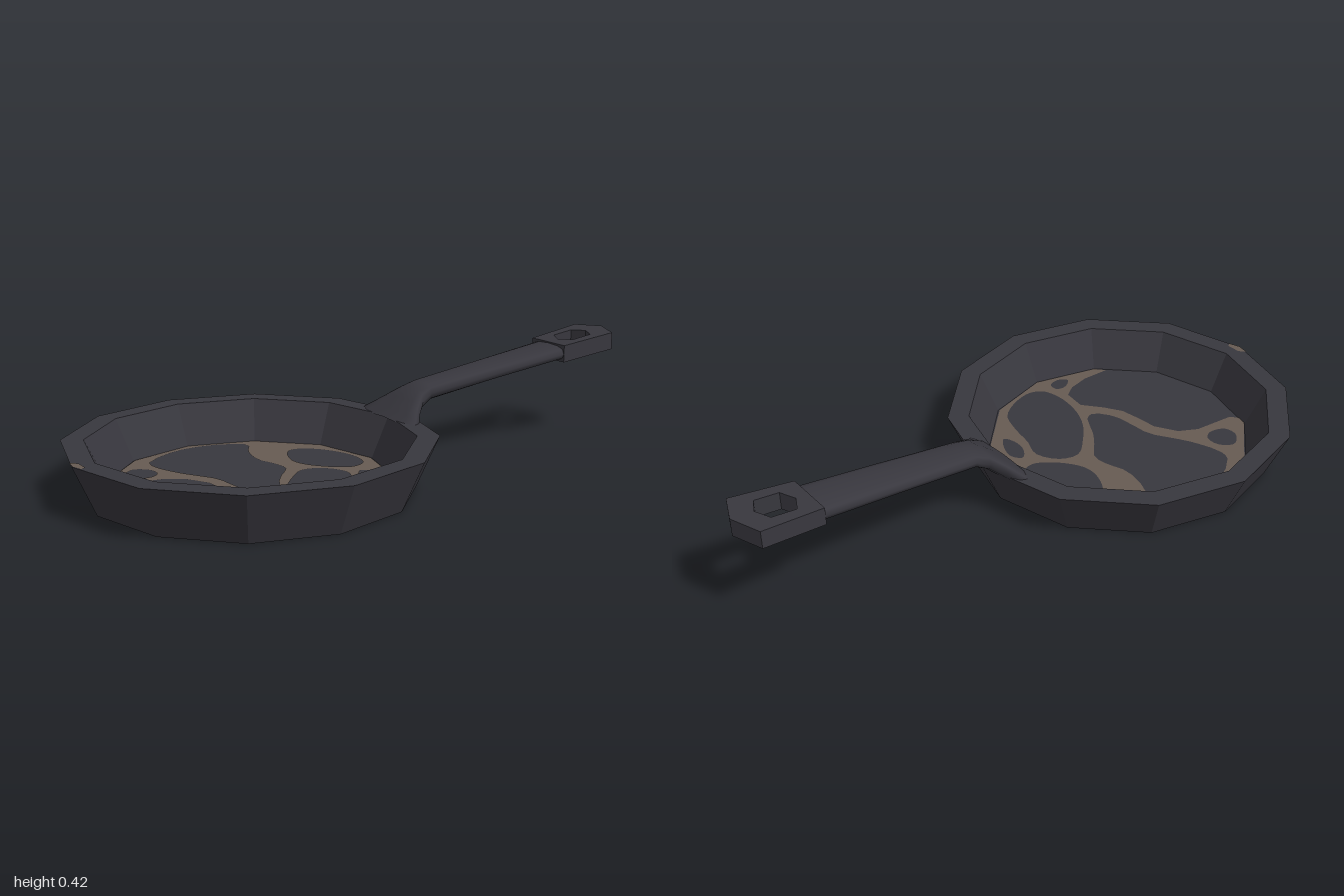
import * as THREE from 'three';

const iron = new THREE.MeshStandardMaterial({ color: 0x38373e });
iron.name = 'castIron';
const rust = new THREE.MeshStandardMaterial({ color: 0x675b52 });
rust.name = 'rustBrown';

const FLOOR = 0.03, RIM = 0.185, SIDES = 12;

function mesh(name, geometry, material) {
  const m = new THREE.Mesh(geometry, material);
  m.name = name;
  return m;
}

// Faceted copy of a geometry
function faceted(geometry) {
  const g = geometry.toNonIndexed();
  g.computeVertexNormals();
  return g;
}

// Flat list of x, z pairs (hundredths) to points on a shape lying on the floor
function points(list) {
  const out = [];
  for (let i = 0; i < list.length; i += 2) out.push(new THREE.Vector2(list[i] / 100, -list[i + 1] / 100));
  return out;
}

// Smooth closed loop through points
function blob(list) {
  const loop = points(list).map((p) => new THREE.Vector3(p.x, p.y, 0));
  const curve = new THREE.CatmullRomCurve3(loop, true);
  return new THREE.Path(curve.getPoints(40).slice(0, -1).map((p) => new THREE.Vector2(p.x, p.y)));
}

// Twelve-sided pan with a sloping wall and a flat rim
function panBody() {
  const profile = [[0, 0], [0.59, 0], [0.672, RIM], [0.59, RIM], [0.515, FLOOR], [0, FLOOR]];
  const g = new THREE.LatheGeometry(profile.map(([r, y]) => new THREE.Vector2(r, y)), SIDES);
  return mesh('panBody', faceted(g), iron);
}

// Rounded shaft that flares where it meets the pan wall
function handleShaft() {
  // distance from pan centre, half width, bottom, top
  const sections = [
    [0.565, 0.21, 0.07, 0.185],
    [0.60, 0.18, 0.12, 0.212],
    [0.645, 0.125, 0.165, 0.25],
    [0.69, 0.085, 0.205, 0.283],
    [0.74, 0.07, 0.232, 0.3],
    [1.05, 0.083, 0.277, 0.34],
    [1.42, 0.097, 0.325, 0.387],
  ];
  const n = 12, pos = [], index = [];
  const soft = (t) => Math.sign(t) * Math.abs(t) ** 0.75;
  sections.forEach(([u, w, lo, hi], i) => {
    for (let j = 0; j < n; j++) {
      const a = (j / n) * Math.PI * 2;
      pos.push(u, (lo + hi) / 2 + soft(Math.sin(a)) * (hi - lo) / 2, soft(Math.cos(a)) * w);
      if (i === sections.length - 1) continue;
      const k = (j + 1) % n, p = i * n, q = p + n;
      index.push(p + j, q + j, p + k, q + j, q + k, p + k);
    }
  });
  const g = new THREE.BufferGeometry();
  g.setAttribute('position', new THREE.Float32BufferAttribute(pos, 3));
  g.setIndex(index);
  g.computeVertexNormals();
  return mesh('handleShaft', g, iron);
}

// Pointed flat end with a six-sided hanging hole
function handleEnd() {
  const shape = new THREE.Shape([[1.37, -0.096], [1.61, -0.112], [1.656, 0], [1.61, 0.112], [1.37, 0.096]]
    .map(([x, y]) => new THREE.Vector2(x, y)));
  shape.holes.push(new THREE.Path([[0.075, 0], [0.047, 0.057], [-0.047, 0.057], [-0.075, 0], [-0.047, -0.057], [0.047, -0.057]]
    .map(([x, y]) => new THREE.Vector2(1.495 + x, y))));
  const g = new THREE.ExtrudeGeometry(shape, { depth: 0.068, bevelEnabled: false });
  g.rotateX(-Math.PI / 2);
  // Tilt along the handle's slope
  const p = g.attributes.position;
  for (let i = 0; i < p.count; i++) p.setY(i, p.getY(i) + 0.347 + 0.13 * (p.getX(i) - 1.6));
  g.computeVertexNormals();
  return mesh('handleEnd', g, iron);
}

// Branching rust stain on the cooking surface
function rustStain() {
  const shape = new THREE.Shape(points([
    -70, 54.5, -70, 51, -72.5, 24.5, -62, 0, -40.5, -15, -14, -18, 10, -7, 25.5, 14, 28, 40.5,
    17.5, 64.5, -4, 80, -9, 80, -1.5, 71.5, 2.5, 63.5, 3, 57.5, -3.5, 51, -13, 51, -21, 50,
    -29, 45.5, -35, 41.5, -45, 40, -52.5, 43, -58.5, 49, -64, 54.5,
  ]));
  shape.holes = [
    // upper left, top, small upper right, right, small lower right, small left
    [-66, 25, -64, 10, -58, 0, -50, -6.5, -41, -9, -37, 0, -29, 9, -21, 12, -15.5, 16, -14, 24,
      -12, 32, -8, 42, -9.5, 45.5, -18, 45.5, -26, 41, -34, 36, -45, 34.5, -53, 33, -63, 29],
    [-22.5, -7, -18, -11, -8, -11.5, 3, -7.5, 9, -0.5, 7, 6, -2.5, 9, -13, 8, -19, 3],
    [11.5, 9.5, 16, 9.5, 20, 14.5, 21.5, 20.5, 17, 19.5, 12.5, 15],
    [-9, 16, -2.5, 11.5, 7, 13, 12, 20.5, 18.5, 28, 24, 37, 23, 47.5, 19, 55.5, 13.5, 58, 5.5, 54.5,
      -2.5, 46, -7, 37, -9, 26.5],
    [5.5, 63.5, 8.5, 61, 11.5, 63.5, 9.5, 68, 5.5, 69],
    [-67.5, 35.5, -61.5, 34, -57, 37.5, -57.5, 42, -63, 45.5, -67.5, 42.5],
  ].map(blob);
  const g = new THREE.ShapeGeometry(shape);
  g.rotateX(-Math.PI / 2);
  const m = mesh('rustStain', g, rust);
  m.position.y = FLOOR + 0.003;
  return m;
}

// Small worn patch on the rim opposite the handle
function rimPatch() {
  const g = new THREE.ShapeGeometry(new THREE.Shape(points([-67.3, 81.3, -64, 85, -59.8, 86.6, -59.5, 84.5, -64, 81])));
  g.rotateX(-Math.PI / 2);
  const m = mesh('rimPatch', g, rust);
  m.position.y = RIM + 0.002;
  return m;
}

export function createModel() {
  const model = new THREE.Group();
  model.name = 'fryingPan';
  const pan = new THREE.Group();
  pan.name = 'panAndHandle';
  pan.add(panBody(), handleShaft(), handleEnd());
  pan.position.set(-0.222, 0, 0.325);
  pan.rotation.y = THREE.MathUtils.degToRad(51);
  model.add(pan, rustStain(), rimPatch());
  return model;
}
